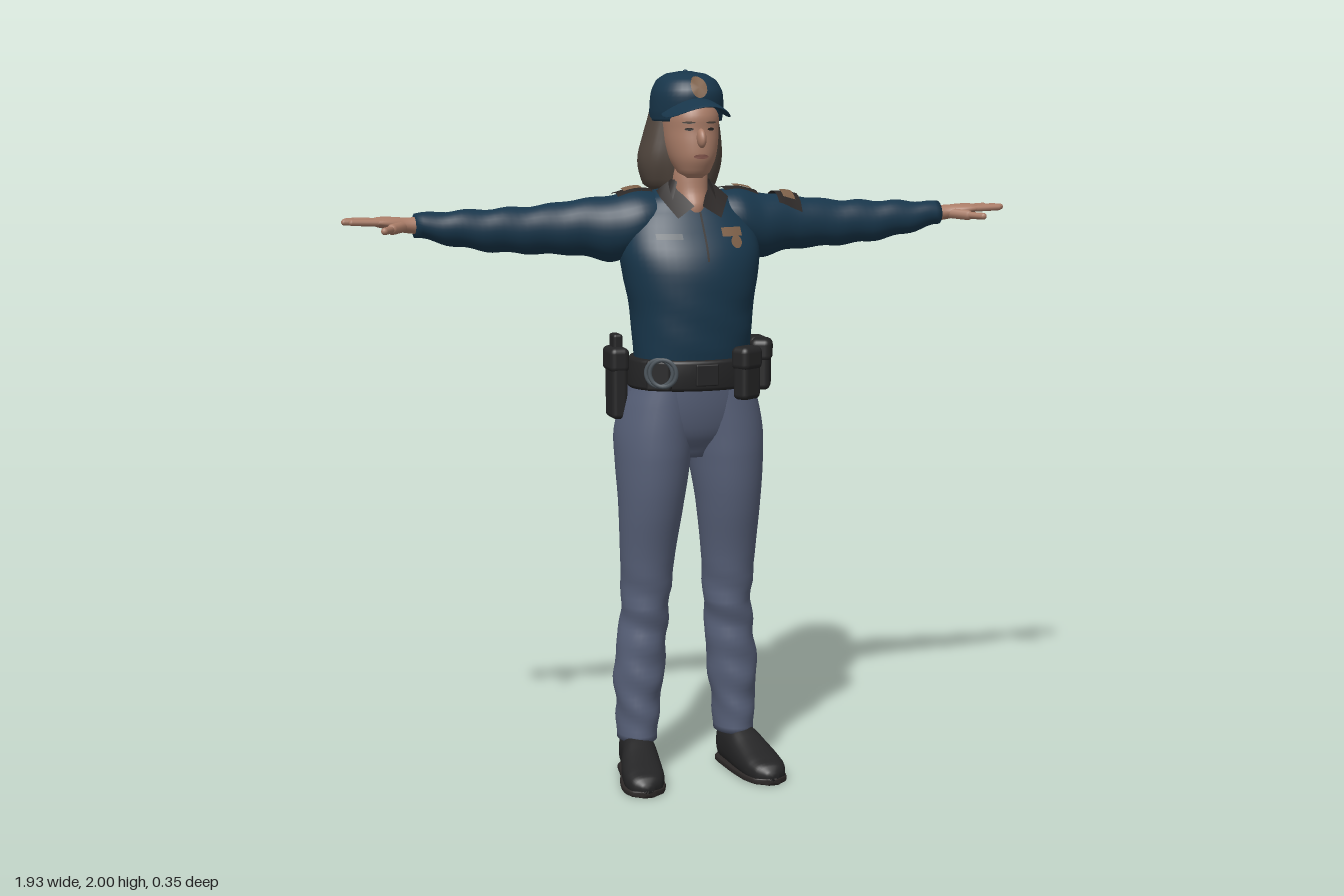
import * as THREE from 'three';
import { RoundedBoxGeometry } from 'three/addons/geometries/RoundedBoxGeometry.js';

const paint = (name, color, side = THREE.FrontSide) => {
  const m = new THREE.MeshStandardMaterial({ color, side });
  m.name = name;
  return m;
};

export function createModel() {
  const model = new THREE.Group();
  model.name = 'officer';
  const navy = paint('navy shirt', 0x18364b), slate = paint('slate trousers', 0x576078);
  const black = paint('black leather', 0x242425), skin = paint('skin', 0xaa7d68);
  const brown = paint('brown hair', 0x50453d), dark = paint('dark collar', 0x2b2726, THREE.DoubleSide);
  const tan = paint('tan badge', 0x7d6049), steel = paint('steel', 0x4a535a);
  const lip = paint('lips', 0x8a5a50);

  const add = (name, geo, mat, parent = model) => {
    const mesh = new THREE.Mesh(geo, mat);
    mesh.name = name;
    parent.add(mesh);
    return mesh;
  };

  // Smooth closed skin over oval rows [position, centreU, centreV, radiusU, radiusV]
  const AXES = { y: [1, 0, 2], x: [0, 2, 1], z: [2, 1, 0] };
  function loft(name, axis, rows, mat, { n = 32, p = 2, sub = 4, warp } = {}) {
    const [ia, iu, iv] = AXES[axis];
    const r = [...rows].sort((a, b) => a[0] - b[0]);
    const last = (r.length - 1) * sub, pos = [], idx = [];
    const pow = c => Math.sign(c) * Math.abs(c) ** (2 / p);
    const push = (a, u, v) => {
      const q = new THREE.Vector3().setComponent(ia, a).setComponent(iu, u).setComponent(iv, v);
      if (warp) warp(q);
      pos.push(q.x, q.y, q.z);
    };
    const row = i => {
      const k = Math.min(Math.floor(i / sub), r.length - 2), t = i / sub - k;
      const A = r[Math.max(k - 1, 0)], B = r[k], C = r[k + 1], D = r[Math.min(k + 2, r.length - 1)];
      return B.map((b, j) => j === 0 ? b + (C[0] - b) * t : b + 0.5 * t * (C[j] - A[j] +
        t * (2 * A[j] - 5 * b + 4 * C[j] - D[j] + t * (3 * (b - C[j]) + D[j] - A[j]))));
    };
    for (let i = 0; i <= last; i++) {
      const [a, cu, cv, ru, rv] = row(i);
      for (let j = 0; j < n; j++) {
        const t = j / n * Math.PI * 2;
        push(a, cu + ru * pow(Math.cos(t)), cv + rv * pow(Math.sin(t)));
      }
    }
    for (let i = 0; i < last; i++) for (let j = 0; j < n; j++) {
      const a = i * n + j, b = i * n + (j + 1) % n;
      idx.push(a, a + n, b, b, a + n, b + n);
    }
    const e = last * n, c = pos.length / 3;
    push(r[0][0], r[0][1], r[0][2]);
    push(r.at(-1)[0], r.at(-1)[1], r.at(-1)[2]);
    for (let j = 0; j < n; j++) {
      const k = (j + 1) % n;
      idx.push(c, j, k, c + 1, e + k, e + j);
    }
    const g = new THREE.BufferGeometry();
    g.setAttribute('position', new THREE.Float32BufferAttribute(pos, 3));
    g.setIndex(idx);
    g.computeVertexNormals();
    return add(name, g, mat);
  }

  // Thin patch laid onto a surface, from the front or from above
  const ray = new THREE.Raycaster();
  function patch(name, target, x, v, w, h, mat, { top = false, lift = 0.004, oval = false } = {}) {
    const g = oval ? new THREE.CircleGeometry(0.5, 20) : new THREE.PlaneGeometry(1, 1, 6, 6);
    g.scale(w, h, 1);
    if (top) g.rotateX(-Math.PI / 2);
    g.translate(x, top ? 0 : v, top ? v : 0);
    const P = g.attributes.position, q = new THREE.Vector3();
    const dir = top ? new THREE.Vector3(0, -1, 0) : new THREE.Vector3(0, 0, -1);
    let prev = 0;
    for (let i = 0; i < P.count; i++) {
      q.fromBufferAttribute(P, i);
      if (top) q.y = 3; else q.z = 3;
      ray.set(q, dir);
      const hit = ray.intersectObject(target)[0];
      if (hit) prev = top ? hit.point.y : hit.point.z;
      if (top) P.setY(i, prev + lift); else P.setZ(i, prev + lift);
    }
    g.computeVertexNormals();
    return add(name, g, mat);
  }

  // Soft cloth folds
  const folds = (amount, lo, hi) => q => {
    const f = Math.max(0, Math.min(1, (q.y - lo) * 12, (hi - q.y) * 12)) * amount;
    q.z += f * Math.sin(q.y * 62 + q.x * 26);
    q.x += f * 0.7 * Math.sin(q.y * 48 + q.z * 30);
  };

  // Shirt body and trousers seat
  const torso = loft('shirtBody', 'y', [[1.17, 0, -0.005, 0.162, 0.122], [1.25, 0, -0.006, 0.166, 0.135],
    [1.35, 0, -0.01, 0.174, 0.144], [1.45, 0, -0.018, 0.192, 0.15], [1.52, 0, -0.03, 0.198, 0.14],
    [1.6, 0, -0.055, 0.18, 0.112], [1.65, 0, -0.065, 0.135, 0.09], [1.68, 0, -0.07, 0.075, 0.06]],
    navy, { n: 48, p: 2.15, warp: folds(0.002, 1.2, 1.45) });
  loft('trouserSeat', 'y', [[0.93, 0, -0.03, 0.09, 0.07], [1, 0, -0.035, 0.18, 0.118],
    [1.08, 0, -0.022, 0.19, 0.126], [1.18, 0, -0.006, 0.168, 0.118]], slate, { n: 40 });

  // Limbs, both sides
  for (const s of [1, -1]) {
    const side = s > 0 ? 'left' : 'right';
    const mx = rows => rows.map(([x, ...rest]) => [s * x, ...rest]);
    const my = rows => rows.map(([y, cx, ...rest]) => [y, s * cx, ...rest]);
    const mz = rows => rows.map(([z, cy, cx, ...rest]) => [z, cy, s * cx, ...rest]);

    loft(side + 'TrouserLeg', 'y', my([[0.105, 0.146, -0.065, 0.056, 0.076], [0.2, 0.144, -0.064, 0.062, 0.076],
      [0.3, 0.14, -0.062, 0.072, 0.077], [0.42, 0.13, -0.06, 0.069, 0.076], [0.5, 0.123, -0.055, 0.068, 0.08],
      [0.65, 0.12, -0.04, 0.078, 0.086], [0.8, 0.114, -0.025, 0.092, 0.105], [0.92, 0.108, -0.03, 0.105, 0.125],
      [1, 0.102, -0.036, 0.111, 0.134], [1.08, 0.09, -0.024, 0.106, 0.122], [1.16, 0.078, -0.01, 0.092, 0.108]]),
      slate, { sub: 6, warp: folds(0.004, 0.1, 0.62) });

    const sleeve = loft(side + 'Sleeve', 'x', mx([[0.05, -0.065, 1.6, 0.075, 0.062], [0.14, -0.067, 1.588, 0.098, 0.085],
      [0.21, -0.07, 1.567, 0.09, 0.092], [0.3, -0.072, 1.572, 0.07, 0.078], [0.42, -0.075, 1.568, 0.06, 0.067],
      [0.55, -0.07, 1.57, 0.052, 0.059], [0.66, -0.066, 1.578, 0.045, 0.048], [0.765, -0.065, 1.588, 0.037, 0.033]]),
      navy, { sub: 6, warp: q => { q.y += 0.003 * Math.sin(q.x * 55 + q.z * 30) * Math.min(1, Math.abs(q.x) * 2); } });

    // Hand with four fingers and a thumb
    loft(side + 'Palm', 'x', mx([[0.74, -0.065, 1.588, 0.026, 0.024], [0.79, -0.064, 1.59, 0.029, 0.021],
      [0.83, -0.061, 1.596, 0.038, 0.018], [0.865, -0.06, 1.6, 0.041, 0.014], [0.885, -0.06, 1.6, 0.034, 0.008]]),
      skin, { n: 20 });
    const finger = (name, a, b, r) => {
      const A = new THREE.Vector3(s * a[0], a[1], a[2]), B = new THREE.Vector3(s * b[0], b[1], b[2]);
      const m = add(side + name, new THREE.CapsuleGeometry(r, A.distanceTo(B), 4, 10), skin);
      m.position.copy(A).add(B).multiplyScalar(0.5);
      m.quaternion.setFromUnitVectors(new THREE.Vector3(0, 1, 0), B.sub(A).normalize());
    };
    [0.925, 0.948, 0.956, 0.94].forEach((tip, i) =>
      finger('Finger', [0.855, 1.6, -0.09 + i * 0.02], [tip, 1.603, -0.098 + i * 0.024], 0.009));
    finger('ThumbBase', [0.795, 1.588, -0.052], [0.835, 1.584, -0.008], 0.015);
    finger('ThumbTip', [0.835, 1.584, -0.008], [0.864, 1.583, 0.036], 0.01);

    // Shoe on a flat sole
    const shoe = mz([[-0.125, 0.05, 0.148, 0.04, 0.026], [-0.095, 0.062, 0.148, 0.062, 0.044],
      [-0.02, 0.062, 0.155, 0.064, 0.05], [0.05, 0.046, 0.168, 0.05, 0.058],
      [0.12, 0.034, 0.178, 0.036, 0.058], [0.16, 0.028, 0.182, 0.028, 0.044], [0.18, 0.024, 0.184, 0.012, 0.016]]);
    loft(side + 'Shoe', 'z', shoe, black, { p: 2.5, warp: q => { q.y = Math.max(q.y, 0.008); } });
    loft(side + 'Sole', 'z', shoe.map(([z, cy, cx, ry, rx]) => [z, 0.01, cx, 0.01, rx + 0.004]), dark, { p: 5 });

    // Shoulder strap and collar flap
    patch(side + 'ShoulderStrap', sleeve, s * 0.155, -0.065, 0.1, 0.075, dark, { top: true, lift: 0.007 });
    patch(side + 'ShoulderBadge', sleeve, s * 0.16, -0.065, 0.052, 0.056, tan, { top: true, lift: 0.012 });
    if (s > 0) {
      patch('sleeveBadge', sleeve, 0.295, -0.065, 0.07, 0.11, dark, { top: true, lift: 0.009 });
      patch('sleeveBadgeCentre', sleeve, 0.295, -0.06, 0.036, 0.07, tan, { top: true, lift: 0.013 });
    }
    const flap = new THREE.BufferGeometry();
    flap.setAttribute('position', new THREE.Float32BufferAttribute([s * 0.058, 1.7, -0.03, s * 0.012, 1.632, 0.058,
      s * 0.062, 1.6, 0.07, s * 0.098, 1.655, 0.02, s * 0.09, 1.67, -0.045], 3));
    flap.setIndex([0, 1, 2, 0, 2, 3, 0, 3, 4]);
    flap.computeVertexNormals();
    add(side + 'CollarFlap', flap, dark);
  }

  // Collar band around the back of the neck
  const band = new THREE.CylinderGeometry(0.06, 0.092, 0.055, 28, 1, true, 0.75, Math.PI * 2 - 1.5);
  add('collarBand', band, dark).position.set(0, 1.675, -0.045);

  // Shirt front details
  patch('buttonPlacket', torso, 0.008, 1.55, 0.006, 0.13, dark, { lift: 0.003 });
  patch('chestBadge', torso, 0.09, 1.562, 0.062, 0.024, tan, { lift: 0.006 });
  patch('chestBadgeLower', torso, 0.1, 1.535, 0.034, 0.034, tan, { oval: true, lift: 0.005 });
  patch('nameTag', torso, -0.09, 1.552, 0.07, 0.016, steel, { lift: 0.005 });

  // Neck, head and face
  loft('neck', 'y', [[1.58, 0, -0.02, 0.033, 0.06], [1.63, 0, -0.02, 0.042, 0.068],
    [1.67, 0, -0.025, 0.05, 0.056], [1.72, 0, -0.025, 0.05, 0.05], [1.77, 0, -0.03, 0.045, 0.045]], skin);
  const head = loft('head', 'y', [[1.708, 0, 0.018, 0.022, 0.028], [1.722, 0, 0.012, 0.043, 0.052],
    [1.76, 0, -0.005, 0.062, 0.086], [1.8, 0, -0.015, 0.072, 0.097], [1.84, 0, -0.022, 0.076, 0.1],
    [1.88, 0, -0.03, 0.078, 0.108], [1.93, 0, -0.04, 0.07, 0.095]], skin, { n: 40, p: 2.1 });
  const nose = new THREE.SphereGeometry(1, 18, 14);
  nose.scale(0.013, 0.027, 0.021);
  nose.rotateX(-0.35);
  add('nose', nose, skin).position.set(0, 1.818, 0.084);
  patch('mouth', head, 0, 1.768, 0.042, 0.013, lip, { oval: true, lift: 0.003 });
  for (const s of [1, -1]) {
    patch('eye', head, s * 0.031, 1.842, 0.022, 0.008, dark, { oval: true, lift: 0.002 });
    patch('eyebrow', head, s * 0.032, 1.86, 0.034, 0.006, brown, { oval: true, lift: 0.003 });
  }

  // Bobbed hair behind the face
  loft('hair', 'y', [[1.662, -0.006, -0.1, 0.07, 0.05], [1.685, -0.008, -0.095, 0.102, 0.072],
    [1.75, -0.008, -0.09, 0.118, 0.082], [1.82, -0.003, -0.086, 0.109, 0.082], [1.9, 0, -0.08, 0.092, 0.078]],
    brown, { n: 44, p: 2.5, warp: q => { q.z += 0.002 * Math.sin(q.x * 110); } });

  // Cap with a curved peak
  const cap = loft('capCrown', 'y', [[1.862, 0, -0.058, 0.098, 0.108], [1.89, 0, -0.054, 0.1, 0.113],
    [1.94, 0, -0.05, 0.096, 0.114], [1.972, 0, -0.055, 0.08, 0.098], [1.99, 0, -0.06, 0.052, 0.066],
    [1.997, 0, -0.062, 0.015, 0.02]], navy, { n: 40, p: 2.15 });
  const peak = new THREE.SphereGeometry(1, 32, 20);
  peak.scale(0.092, 0.009, 0.13);
  const pp = peak.attributes.position;
  for (let i = 0; i < pp.count; i++) pp.setY(i, pp.getY(i) + 0.012 - 5.5 * pp.getX(i) ** 2 - 0.12 * pp.getZ(i));
  peak.computeVertexNormals();
  add('capPeak', peak, navy).position.set(0, 1.909, 0.03);
  const button = add('capButton', new THREE.SphereGeometry(0.009, 12, 8), navy);
  button.position.set(0, 1.992, -0.062);
  patch('capBadge', cap, 0, 1.955, 0.046, 0.058, tan, { oval: true, lift: 0.008 });

  // Duty belt with pouches, holster and cuffs
  loft('belt', 'y', [[1.13, 0, -0.008, 0.178, 0.136], [1.14, 0, -0.008, 0.184, 0.142],
    [1.205, 0, -0.006, 0.18, 0.143], [1.215, 0, -0.006, 0.174, 0.137]], black, { n: 48, sub: 2, p: 2.15 });
  const box = (name, [x, y, z], [w, h, d], turn = 0, mat = black) => {
    const m = add(name, new RoundedBoxGeometry(w, h, d, 3, Math.min(w, h, d) * 0.3), mat);
    m.position.set(x, y, z);
    m.rotation.y = turn;
  };
  const pouch = (at, [w, h, d], turn) => {
    box('pouch', at, [w, h, d], turn);
    box('pouchFlap', [at[0], at[1] + h * 0.29, at[2]], [w + 0.008, h * 0.46, d + 0.01], turn);
  };
  pouch([0.118, 1.175, 0.127], [0.072, 0.145, 0.05], 0.55);
  pouch([0.182, 1.19, 0.066], [0.066, 0.14, 0.05], 1.15);
  pouch([0.195, 1.19, -0.018], [0.068, 0.135, 0.046], 1.57);
  pouch([0.18, 1.185, -0.09], [0.056, 0.1, 0.04], 2.1);
  box('holster', [-0.207, 1.135, -0.045], [0.046, 0.19, 0.085]);
  box('holsterHood', [-0.207, 1.205, -0.05], [0.056, 0.07, 0.1]);
  box('pistolGrip', [-0.204, 1.24, -0.06], [0.028, 0.07, 0.05]);
  box('cuffCase', [-0.128, 1.175, 0.103], [0.07, 0.085, 0.03], -0.55);
  box('beltBuckle', [0, 1.175, 0.135], [0.065, 0.06, 0.014]);
  for (const [x, z] of [[-0.135, 0.128], [-0.127, 0.137]]) {
    const cuff = add('handcuff', new THREE.TorusGeometry(0.037, 0.006, 8, 28), steel);
    cuff.position.set(x, 1.185, z);
    cuff.rotation.y = -0.5;
  }
  return model;
}
